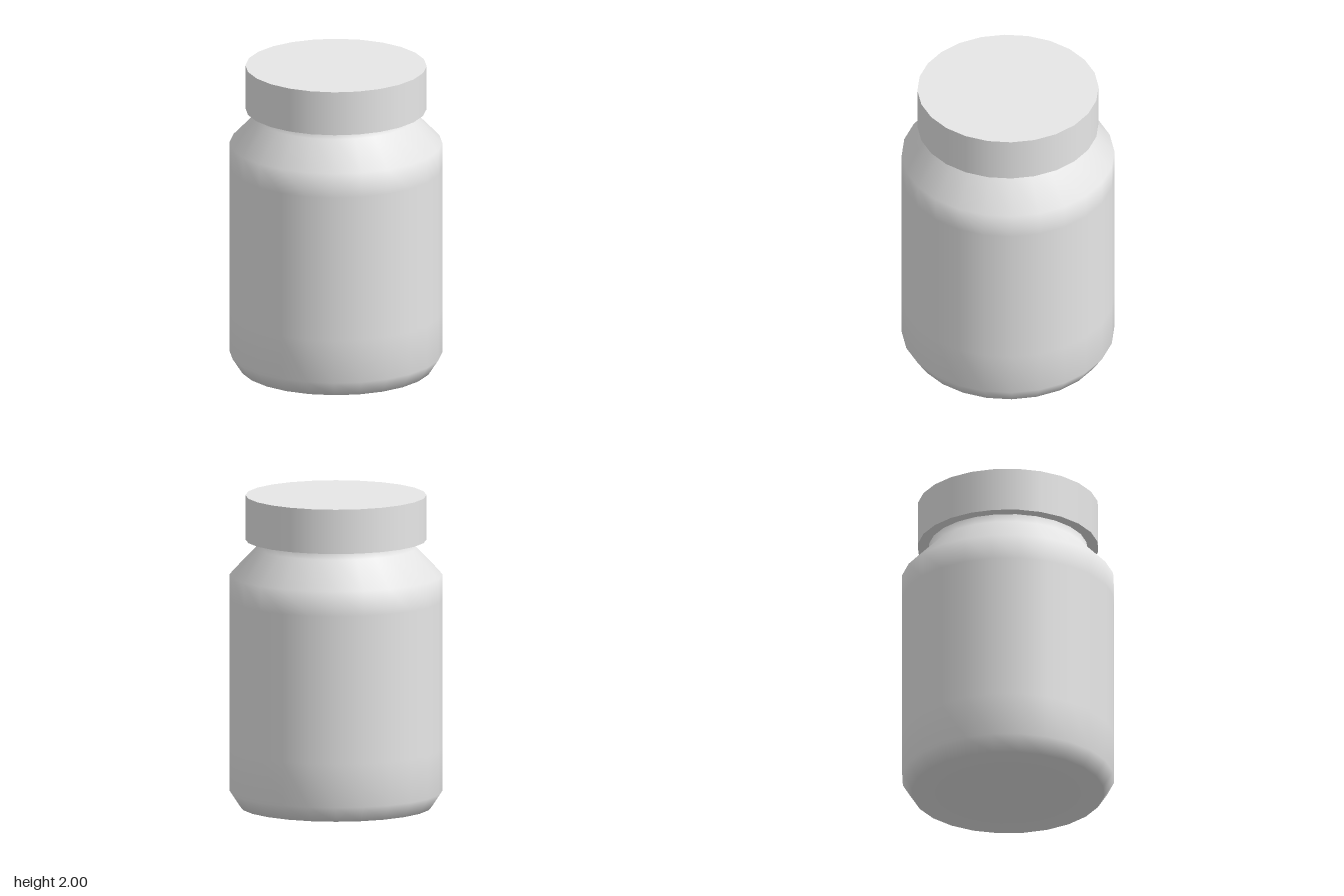
import * as THREE from 'three';

const SIDES = 24;

export function createModel() {
  const group = new THREE.Group();
  group.name = 'jar';
  const plastic = new THREE.MeshStandardMaterial({ color: 0xe7e7e7 });
  plastic.name = 'light grey';

  // Body: bevelled base, straight wall, sloping shoulder and neck, smooth shaded
  const profile = [
    [0, 0], [0.61, 0], [0.675, 0.1], [0.675, 0.38],
    [0.675, 1.33], [0.675, 1.49], [0.505, 1.665], [0.505, 1.75],
  ].map(([r, y]) => new THREE.Vector2(r, y));
  const body = new THREE.Mesh(new THREE.LatheGeometry(profile, SIDES), plastic);
  body.name = 'body';
  group.add(body);

  // Cap: closed disc with sharp rims, overhanging the neck
  const capBottom = 1.715, capTop = 2;
  const cap = new THREE.Mesh(
    new THREE.CylinderGeometry(0.575, 0.575, capTop - capBottom, SIDES), plastic);
  cap.position.y = (capBottom + capTop) / 2;
  cap.name = 'cap';
  group.add(cap);

  return group;
}
